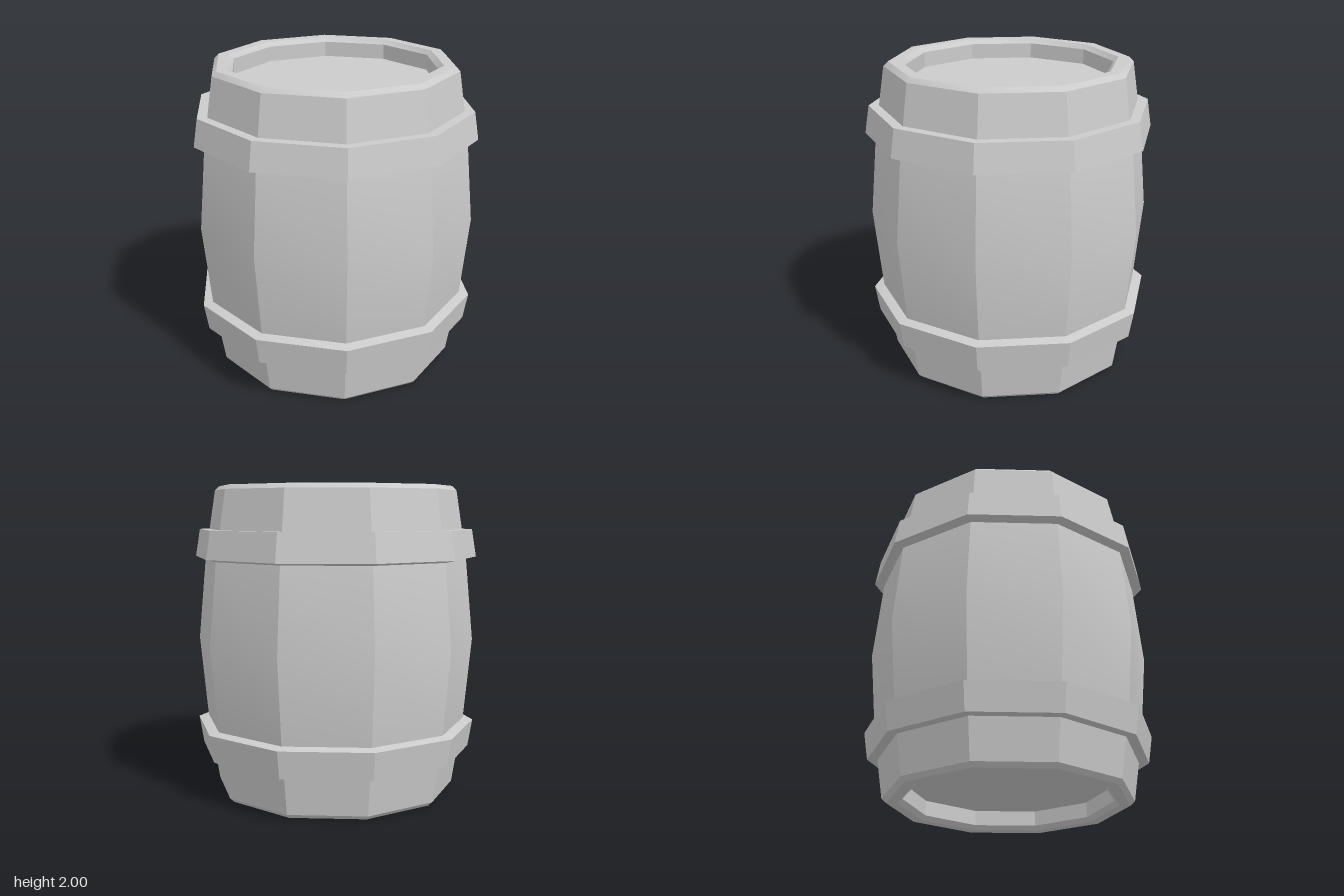
import * as THREE from 'three';
import { toCreasedNormals } from 'three/addons/utils/BufferGeometryUtils.js';

const SIDES = 10;
const HEIGHT = 2;

// Mirrors a bottom-half profile to the top half, keeping the outward winding
const mirrored = (profile) => profile.map(([r, y]) => [r, HEIGHT - y]).reverse();

// Turns a [radius, y] profile into a ten-sided part with a corner on +x
function turned(name, profile, material) {
  const points = profile.map(([r, y]) => new THREE.Vector2(r, y));
  const lathe = new THREE.LatheGeometry(points, SIDES, Math.PI / 2);
  // Crisp staves, but a soft bend along their length
  const mesh = new THREE.Mesh(toCreasedNormals(lathe, Math.PI / 6), material);
  mesh.name = name;
  return mesh;
}

export function createModel() {
  const group = new THREE.Group();
  group.name = 'barrel';
  const material = new THREE.MeshStandardMaterial({ color: 0xcccccc });

  // Staves with rims chamfered on both edges and straight-walled recessed ends
  const lower = [
    [0, 0.127], [0.66, 0.127], [0.66, 0.028], [0.69, 0],
    [0.76, 0], [0.79, 0.028], [0.83, 0.28], [0.86, 0.47],
  ];
  group.add(turned('barrelBody', [...lower, [0.91, 1], ...mirrored(lower)], material));

  // Hoops, wider towards the middle of the barrel
  const hoop = [[0.82, 0.278], [0.895, 0.278], [0.924, 0.455], [0.855, 0.47]];
  group.add(turned('lowerHoop', hoop, material));
  group.add(turned('upperHoop', mirrored(hoop), material));

  return group;
}
